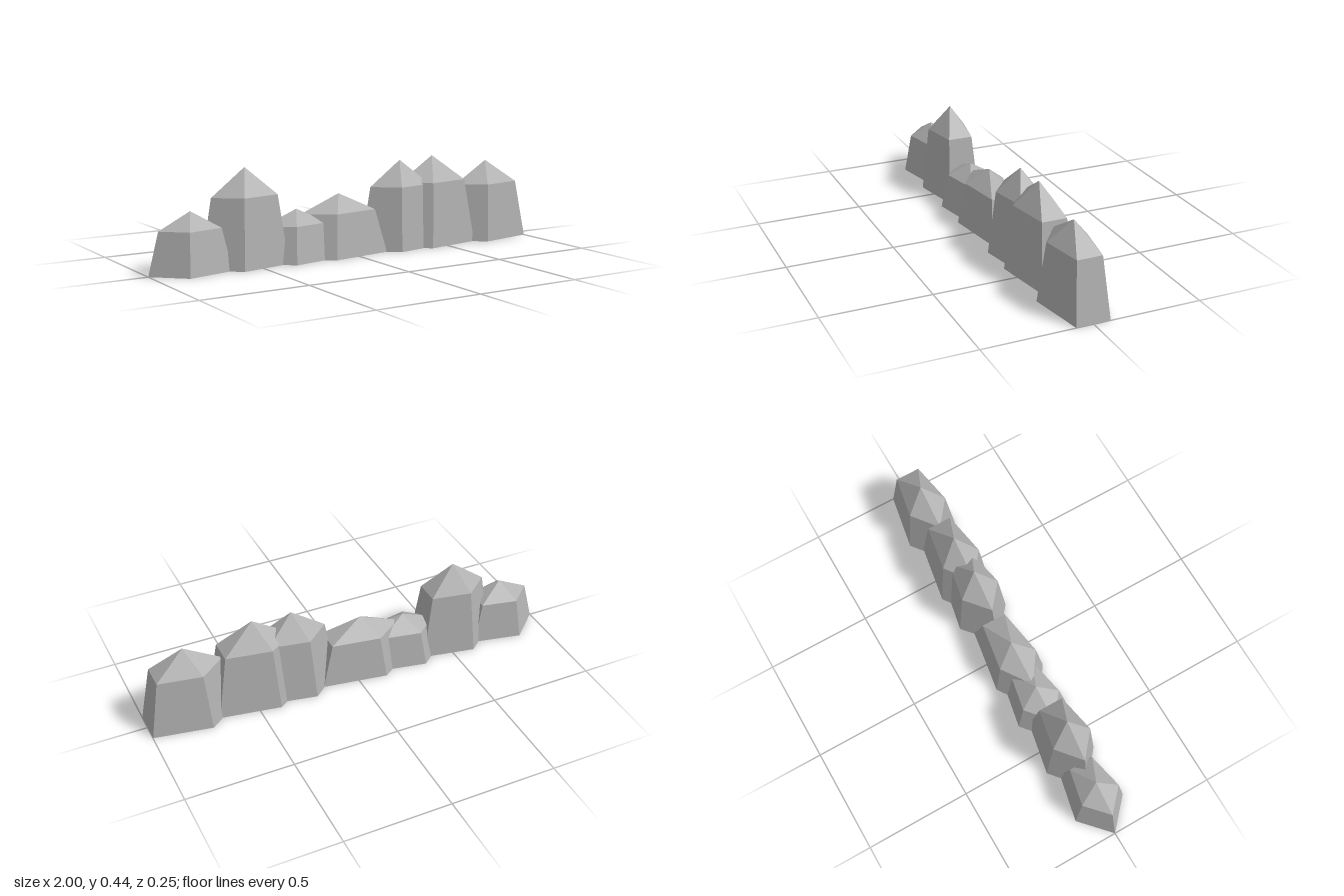
import * as THREE from 'three';

// Each stone: centre x, base radius along x, peak height
const STONES = [
  [-0.8, 0.2, 0.267],
  [-0.535, 0.22, 0.44],
  [-0.275, 0.22, 0.232],
  [-0.05, 0.27, 0.285],
  [0.291, 0.22, 0.418],
  [0.479, 0.252, 0.428],
  [0.805, 0.24, 0.384],
];
const DEPTH_RADIUS = 0.1335;

export function createModel() {
  const group = new THREE.Group();
  group.name = 'stoneRow';

  const stoneGrey = new THREE.MeshStandardMaterial({ color: 0xb0b0b0 });
  stoneGrey.name = 'stoneGrey';
  stoneGrey.flatShading = true;

  // Five-sided unit stone: closed base, tapering walls, shoulder and pointed cap
  const profile = [[0, 0], [1, 0], [0.75, 0.717], [0, 1]]
    .map(([r, y]) => new THREE.Vector2(r, y));
  const stoneGeometry = new THREE.LatheGeometry(profile, 5, -Math.PI / 2);

  STONES.forEach(([x, radius, height], i) => {
    const stone = new THREE.Mesh(stoneGeometry, stoneGrey);
    stone.name = `stone${i + 1}`;
    stone.position.x = x;
    stone.scale.set(radius, height, DEPTH_RADIUS);
    group.add(stone);
  });

  return group;
}
